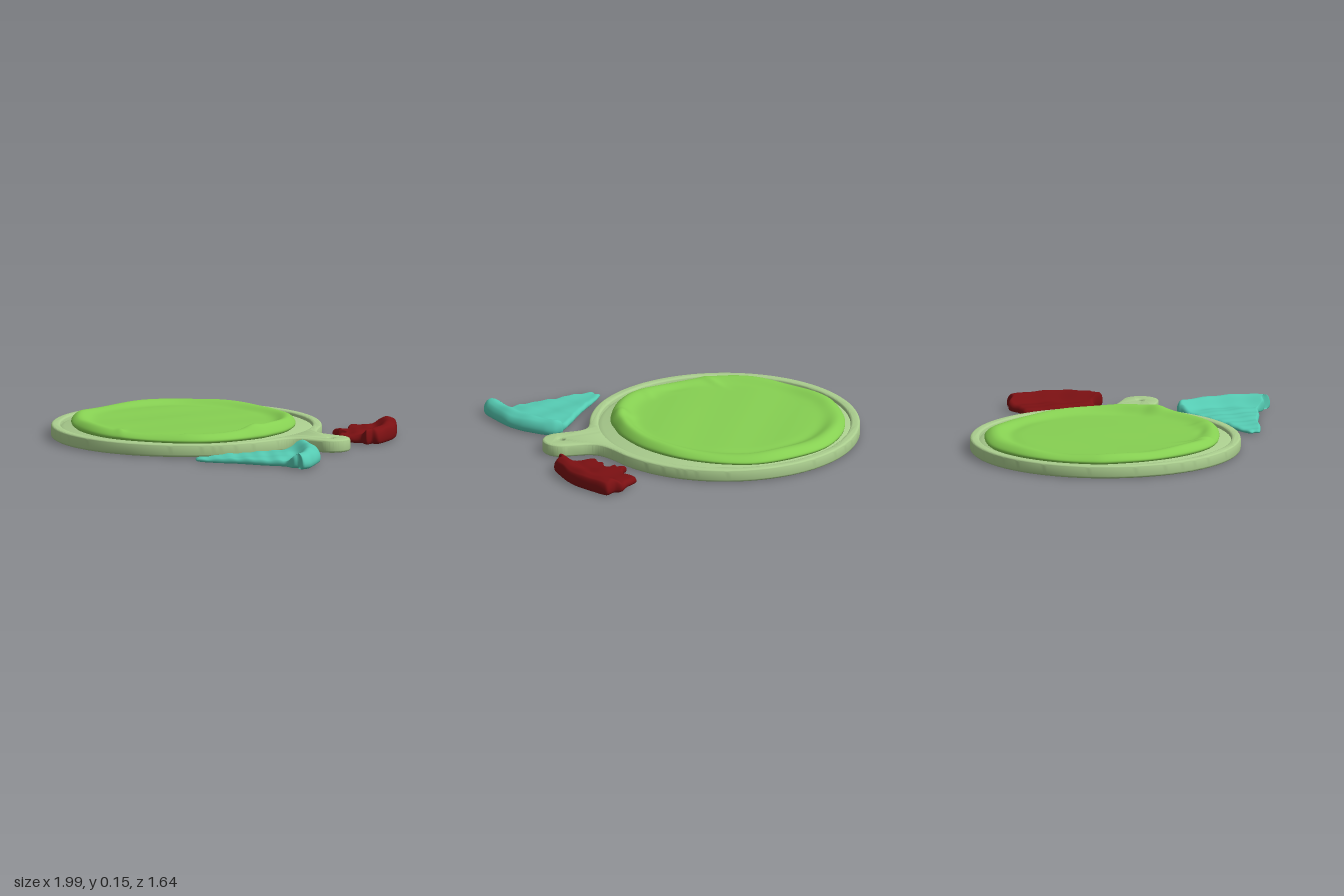
import * as THREE from 'three';
import { toCreasedNormals } from 'three/addons/utils/BufferGeometryUtils.js';

const mat = (color) => new THREE.MeshStandardMaterial({ color });

// Soft lump: rings of a closed outline [x, z] run from the bottom centre, round the edge, to the top centre.
function lump(name, color, outline, centre, y0, edge, height, segments = 180, rings = 36, tension = 0.5) {
  const curve = new THREE.CatmullRomCurve3(outline.map(([x, z]) => new THREE.Vector3(x, 0, z)), true, 'catmullrom', tension);
  const rim = curve.getSpacedPoints(segments).slice(0, segments);
  // profile entries: [scale of outline, share of local height]
  const profile = [[0.001, 0], [1 - edge * 0.6, 0], [1 - edge * 0.2, 0.1], [1 - edge * 0.04, 0.25]];
  for (let i = 0; i <= 8; i++) {
    const a = (i / 8) * Math.PI / 2;
    profile.push([1 - edge * (1 - Math.cos(a)), 0.42 + 0.58 * Math.sin(a)]);
  }
  for (let i = 1; i <= rings; i++) profile.push([Math.max(0.001, (1 - edge) * (1 - i / rings)), 1]);
  const pos = [], index = [];
  profile.forEach(([s, share], i) => rim.forEach((p, j) => {
    const x = centre[0] + (p.x - centre[0]) * s, z = centre[1] + (p.z - centre[1]) * s;
    pos.push(x, y0 + (height(x, z, s) - y0) * share, z);
    if (i === profile.length - 1) return;
    const k = (j + 1) % segments, a = i * segments + j, b = i * segments + k;
    index.push(a, a + segments, b + segments, a, b + segments, b);
  }));
  const geo = new THREE.BufferGeometry();
  geo.setAttribute('position', new THREE.Float32BufferAttribute(pos, 3));
  geo.setIndex(index);
  geo.computeVertexNormals();
  const mesh = new THREE.Mesh(geo, mat(color));
  mesh.name = name;
  return mesh;
}

const bump = (v, w) => Math.exp(-(v * v) / (w * w));

// Round board with a paddle handle, hanging hole and sunken middle
function createBoard() {
  const cx = -0.21, cz = -0.03, r = 0.79, b = 0.014, a = 0.349;
  const shape = new THREE.Shape();
  shape.absarc(cx, -cz, r, a, Math.PI * 2 - a, false);
  shape.bezierCurveTo(0.57, -0.16, 0.6, -0.14, 0.68, -0.15);
  shape.lineTo(0.77, -0.156);
  shape.absarc(0.785, -0.05, 0.107, -Math.PI / 2, Math.PI / 2, false);
  shape.lineTo(0.7, 0.072);
  shape.bezierCurveTo(0.6, 0.09, 0.58, 0.14, cx + r * Math.cos(a), -cz + r * Math.sin(a));
  const circle = (x, y, rad) => new THREE.Path().absarc(x, y, rad, 0, Math.PI * 2, true);
  shape.holes.push(circle(cx, -cz, 0.735), circle(0.78, -0.05, 0.018));
  const body = new THREE.ExtrudeGeometry(shape, {
    depth: 0.075 - 2 * b, bevelThickness: b, bevelSize: b, bevelOffset: -b, bevelSegments: 4, curveSegments: 96,
  });
  body.translate(0, 0, b).rotateX(-Math.PI / 2);
  const frame = new THREE.Mesh(toCreasedNormals(body, 0.6), mat(0xaacd8e));
  frame.name = 'boardRimAndHandle';

  const floor = [[0, 0], [0.75, 0], [0.75, 0.045], [0.733, 0.053], [0.712, 0.062], [0, 0.062]]
    .map(([x, y]) => new THREE.Vector2(x, y));
  const middle = new THREE.Mesh(toCreasedNormals(new THREE.LatheGeometry(floor, 96), 0.6), mat(0xaacd8e));
  middle.position.set(cx, 0, cz);
  middle.name = 'boardMiddle';
  const board = new THREE.Group();
  board.name = 'board';
  board.add(frame, middle);
  return board;
}

// Dough round with an uneven raised edge and soft dents
function createDough() {
  const outline = [[0.435, -0.05], [0.43, 0.1], [0.4, 0.24], [0.27, 0.46], [0.1, 0.585], [-0.2, 0.635], [-0.42, 0.61],
    [-0.63, 0.49], [-0.79, 0.3], [-0.89, 0.1], [-0.91, -0.04], [-0.87, -0.27], [-0.75, -0.5], [-0.55, -0.665],
    [-0.22, -0.735], [0.03, -0.66], [0.25, -0.48], [0.38, -0.27]];
  const c = [-0.235, -0.05];
  return lump('dough', 0x86d052, outline, c, 0.06, 0.07, (x, z, s) => {
    const t = Math.atan2(z - c[1], x - c[0]);
    const right = bump(t - 0.05, 0.55), back = bump(t + 1.7, 0.7);
    const ridge = 0.022 + 0.022 * right + 0.004 * Math.sin(3 * t + 1) + 0.004 * Math.sin(7 * t);
    const middle = 0.091 + 0.003 * Math.sin(6 * x + 2) * Math.cos(5 * z) + 0.0015 * Math.sin(14 * x + 9 * z);
    const fold = 0.018 * bump(x - 0.33, 0.05) * bump(z - 0.2, 0.06);
    const creases = 0.01 * bump(x + 0.36 - 0.4 * (z - 0.5), 0.025) * bump(z - 0.53, 0.09)
      + 0.008 * bump(x - 0.07, 0.025) * bump(z - 0.48, 0.05) - 0.006 * bump(x + 0.1, 0.1) * bump(z - 0.52, 0.03);
    const dent = -0.012 * back * bump(s - 0.8, 0.07);
    return middle + ridge * bump(s - 0.92 + 0.03 * back, 0.08 + 0.02 * back) + fold + creases + dent;
  }, 200, 60);
}

// Slice with a thin tip, wrinkled top and thick crust at a fixed radius from its apex
function createSlice(name, color, outline, centre, apex, tip, crust) {
  return lump(name, color, outline, centre, 0.004, 0.1, (x, z) => {
    const d = Math.hypot(x - apex[0], z - apex[1]);
    const wrinkle = 0.004 * Math.sin(26 * x + 11 * z) * Math.sin(23 * z - 9 * x) + 0.002 * Math.sin(61 * x - 37 * z);
    return tip + 0.035 * d + wrinkle + crust * bump(d - 0.665, 0.055) - 0.008 * bump(d - 0.57, 0.035);
  }, 200, 36, 0.35);
}

export function createModel() {
  const model = new THREE.Group();
  model.name = 'boardWithDoughAndSlices';
  const wholeSlice = [[0.26, 0.765], [0.34, 0.67], [0.46, 0.55], [0.57, 0.42], [0.67, 0.31], [0.68, 0.285], [0.735, 0.272],
    [0.79, 0.3], [0.89, 0.41], [0.945, 0.51], [0.975, 0.63], [0.995, 0.73], [0.975, 0.79], [0.93, 0.755], [0.9, 0.765],
    [0.83, 0.735], [0.7, 0.76], [0.52, 0.775], [0.4, 0.805], [0.29, 0.815], [0.285, 0.785]];
  const bittenSlice = [[0.565, -0.605], [0.64, -0.655], [0.695, -0.715], [0.74, -0.71], [0.8, -0.735], [0.86, -0.635],
    [0.915, -0.52], [0.94, -0.41], [0.942, -0.25], [0.9, -0.235], [0.89, -0.185], [0.835, -0.23], [0.78, -0.215],
    [0.685, -0.23], [0.68, -0.285], [0.655, -0.3], [0.665, -0.35], [0.64, -0.385], [0.605, -0.375], [0.6, -0.41],
    [0.55, -0.41], [0.59, -0.455], [0.6, -0.51], [0.585, -0.54]];
  model.add(
    createBoard(),
    createDough(),
    createSlice('wholeSlice', 0x55cab2, wholeSlice, [0.72, 0.6], [0.27, 0.79], 0.026, 0.043),
    createSlice('bittenSlice', 0x7a1012, bittenSlice, [0.78, -0.46], [0.23, -0.3], 0.03, 0.042),
  );
  return model;
}
